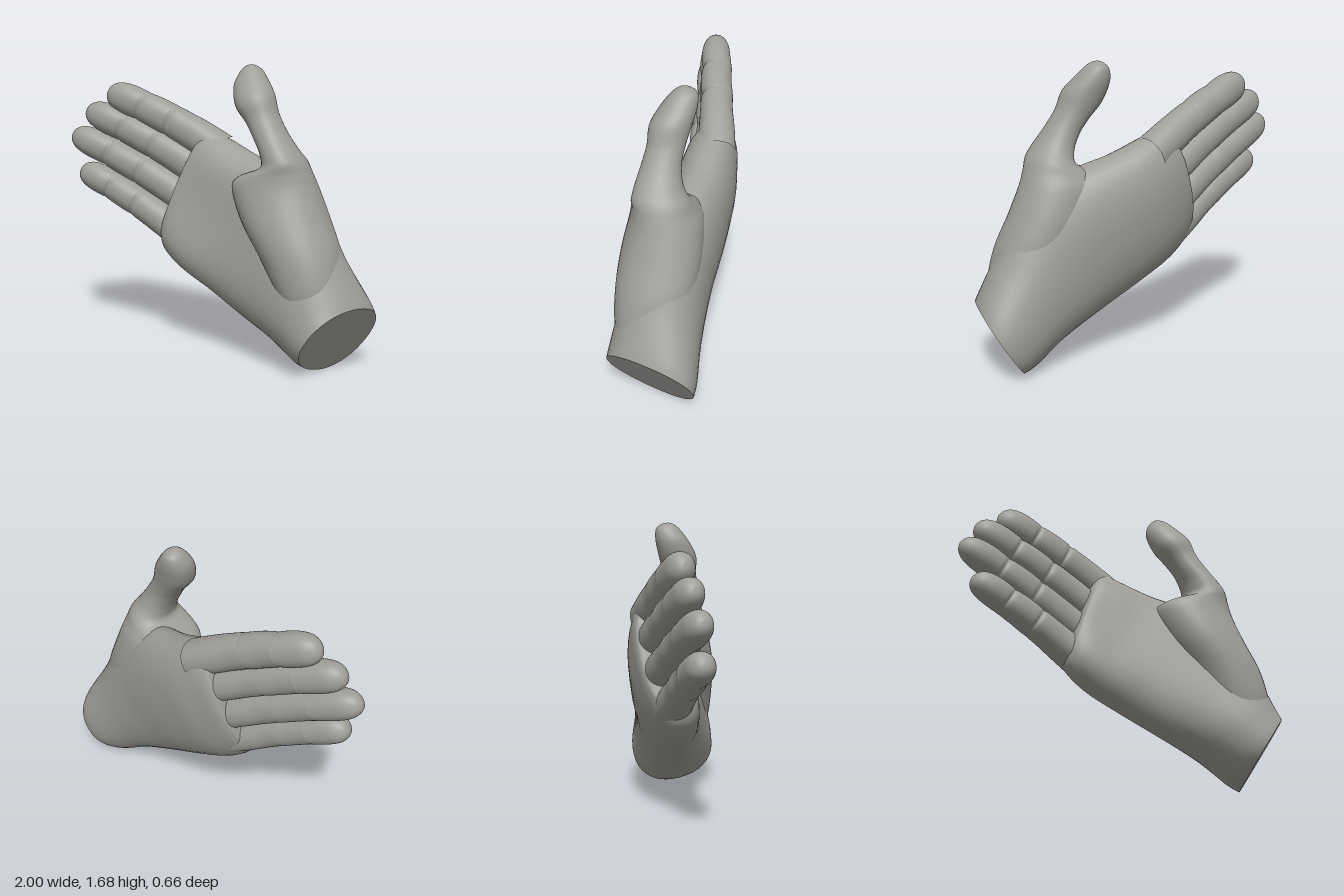
import * as THREE from 'three';

const skin = new THREE.MeshStandardMaterial({ color: 0xa09e99 });
skin.name = 'warm grey';

// Section: [lower x,y,z, upper x,y,z, front z, back z, tilt, hollow of the front]
const SIDES = 40;

function ringPoint(s, angle) {
  const power = (v) => Math.sign(v) * Math.pow(Math.abs(v), 0.93);
  const a = power(Math.cos(angle)), b = power(Math.sin(angle));
  const mid = [0, 1, 2].map((i) => (s[i] + s[i + 3]) / 2);
  const half = [0, 1, 2].map((i) => (s[i + 3] - s[i]) / 2);
  let dz = b * (b > 0 ? s[6] - mid[2] : mid[2] - s[7]);
  if (b > 0) dz *= 1 - s[9] * Math.pow(b, 5);
  return [
    mid[0] + half[0] * a - s[8] * dz,
    mid[1] + half[1] * a + s[8] * 0.6 * dz,
    mid[2] + half[2] * a + dz,
  ];
}

function spline(a, b, c, d, t) {
  const m0 = (c - a) / 2, m1 = (d - b) / 2, t2 = t * t, t3 = t2 * t;
  return (2 * t3 - 3 * t2 + 1) * b + (t3 - 2 * t2 + t) * m0 + (3 * t2 - 2 * t3) * c + (t3 - t2) * m1;
}

// Smooth skin through a row of sections
function loft(name, sections, steps = 6) {
  const positions = [], index = [];
  const last = sections.length - 1, rows = last * steps;
  for (let r = 0; r <= rows; r++) {
    const i = Math.min(Math.floor(r / steps), last - 1), t = r / steps - i;
    const [p, q, u, v] = [-1, 0, 1, 2].map((k) => sections[Math.min(Math.max(i + k, 0), last)]);
    const s = q.map((_, k) => spline(p[k], q[k], u[k], v[k], t));
    for (let j = 0; j < SIDES; j++) positions.push(...ringPoint(s, (j / SIDES) * Math.PI * 2));
  }
  for (let r = 0; r < rows; r++) {
    for (let j = 0; j < SIDES; j++) {
      const k = (j + 1) % SIDES;
      const a = r * SIDES + j, b = a + SIDES, c = r * SIDES + k, d = c + SIDES;
      index.push(a, b, c, c, b, d);
    }
  }
  return makeMesh(name, positions, index);
}

function makeMesh(name, positions, index) {
  const g = new THREE.BufferGeometry();
  g.setAttribute('position', new THREE.Float32BufferAttribute(positions, 3));
  g.setIndex(index);
  g.computeVertexNormals();
  const mesh = new THREE.Mesh(g, skin);
  mesh.name = name;
  return mesh;
}

// Flat disc closing the first section
function cap(name, s) {
  const positions = [0, 1, 2].map((i) => (s[i] + s[i + 3]) / 2), index = [];
  for (let j = 0; j < SIDES; j++) {
    positions.push(...ringPoint(s, (j / SIDES) * Math.PI * 2));
    index.push(0, 1 + j, 1 + ((j + 1) % SIDES));
  }
  return makeMesh(name, positions, index);
}

// Along a finger: [position, width, front depth, back depth], with creases at the joints
const fingerProfile = [
  [0, 1.02, 1.25, 1.2], [0.2, 1.03, 1.1, 1.14], [0.33, 1.0, 1.05, 1.04], [0.42, 0.98, 1.0, 1.04],
  [0.45, 0.95, 0.86, 1.05], [0.48, 0.98, 0.98, 1.04], [0.58, 0.97, 1.02, 0.97], [0.67, 0.93, 0.94, 0.98],
  [0.7, 0.91, 0.8, 1.0], [0.73, 0.93, 0.93, 0.97], [0.82, 0.95, 0.98, 0.9], [0.9, 0.87, 0.88, 0.82],
  [0.95, 0.71, 0.7, 0.65], [0.985, 0.42, 0.4, 0.38], [1, 0, 0, 0],
];

function finger(name, base, tip, radius) {
  const dx = tip[0] - base[0], dy = tip[1] - base[1], len = Math.hypot(dx, dy);
  const ux = dy / len, uy = -dx / len;
  const sections = fingerProfile.map(([t, w, f, b]) => {
    const [x, y, z] = base.map((v, i) => v + (tip[i] - v) * t);
    const bow = 0.02 * Math.sin(Math.PI * t), r = radius * w;
    const cx = x + ux * bow, cy = y + uy * bow;
    return [cx - ux * r, cy - uy * r, z, cx + ux * r, cy + uy * r, z, z + 0.09 * f, z - 0.09 * b, 0, 0];
  });
  return loft(name, sections, 4);
}

export function createModel() {
  const hand = new THREE.Group();
  hand.name = 'hand';

  // Wrist and palm
  const palm = [
    [0.715, 0.015, 0.06, 0.98, 0.395, 0.05, 0.33, -0.165, 0.32, 0],
    [0.64, 0.045, 0.05, 0.95, 0.46, 0.04, 0.32, -0.18, 0.27, 0],
    [0.47, 0.15, 0.03, 0.845, 0.64, 0.04, 0.285, -0.19, 0.12, 0],
    [0.24, 0.26, 0.00, 0.72, 0.87, 0.03, 0.22, -0.225, 0, 0.05],
    [0.02, 0.37, -0.04, 0.48, 1.08, -0.04, 0.15, -0.285, 0, 0.2],
    [-0.18, 0.47, -0.07, 0.21, 1.18, -0.14, 0.09, -0.325, 0, 0.3],
    [-0.30, 0.56, -0.09, 0.03, 1.255, -0.19, 0.05, -0.325, 0, 0.3],
    [-0.345, 0.63, -0.10, -0.08, 1.29, -0.20, 0.0, -0.315, 0, 0.2],
    [-0.345, 0.69, -0.11, -0.14, 1.24, -0.20, -0.06, -0.28, 0, 0],
    [-0.24, 0.95, -0.17, -0.24, 0.95, -0.17, -0.17, -0.17, 0, 0],
  ];
  hand.add(loft('palm', palm), cap('wristEnd', palm[0]));

  // Thumb with the ball of the palm at its root
  hand.add(loft('thumb', [
    [0.66, 0.20, 0.08, 0.88, 0.38, 0.08, 0.24, -0.03, 0, 0],
    [0.53, 0.38, 0.07, 0.855, 0.54, 0.07, 0.285, -0.10, 0, 0],
    [0.40, 0.62, 0.06, 0.82, 0.695, 0.05, 0.288, -0.15, 0, 0],
    [0.27, 0.82, 0.05, 0.75, 0.86, 0.03, 0.265, -0.18, 0, 0],
    [0.19, 1.00, 0.03, 0.685, 1.02, 0.03, 0.225, -0.18, 0, 0],
    [0.22, 1.07, 0.02, 0.65, 1.11, 0.04, 0.21, -0.15, 0, 0],
    [0.365, 1.13, 0.04, 0.62, 1.175, 0.05, 0.205, -0.11, 0, 0],
    [0.37, 1.20, 0.05, 0.575, 1.235, 0.06, 0.19, -0.07, 0, 0],
    [0.325, 1.29, 0.05, 0.505, 1.33, 0.05, 0.16, -0.055, 0, 0],
    [0.27, 1.37, 0.03, 0.445, 1.43, 0.03, 0.135, -0.07, 0, 0],
    [0.195, 1.46, 0.01, 0.41, 1.53, 0.01, 0.125, -0.10, 0, 0],
    [0.165, 1.57, -0.02, 0.36, 1.60, -0.02, 0.07, -0.125, 0, 0],
    [0.185, 1.645, -0.05, 0.31, 1.66, -0.05, 0.015, -0.125, 0, 0],
    [0.215, 1.68, -0.05, 0.27, 1.685, -0.05, -0.025, -0.09, 0, 0],
    [0.24, 1.69, -0.055, 0.24, 1.69, -0.055, -0.055, -0.055, 0, 0],
  ]));

  // Four fingers
  hand.add(
    finger('indexFinger', [0, 1.165, -0.215], [-0.765, 1.51, -0.165], 0.1),
    finger('middleFinger', [-0.08, 1.01, -0.21], [-0.91, 1.395, -0.145], 0.097),
    finger('ringFinger', [-0.15, 0.835, -0.185], [-1.0, 1.245, -0.12], 0.095),
    finger('littleFinger', [-0.22, 0.66, -0.13], [-0.925, 1.03, -0.095], 0.092),
  );
  return hand;
}
